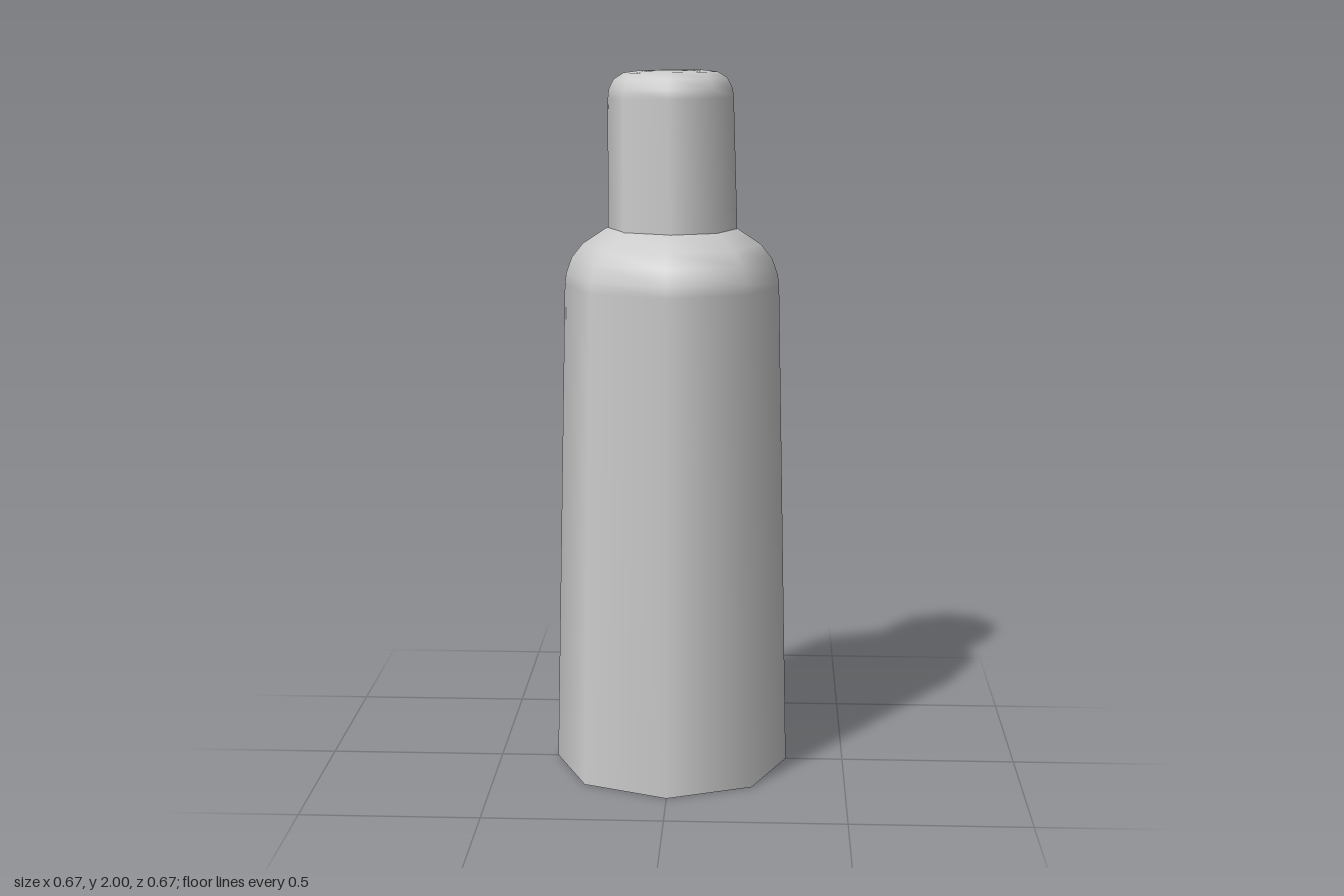
import * as THREE from 'three';

const material = new THREE.MeshStandardMaterial({ color: 0xcccccc });

// Eight-sided turned part from [radius, height] pairs, bottom to top
function turned(name, profile) {
  const points = profile.map(([r, y]) => new THREE.Vector2(r, y));
  const mesh = new THREE.Mesh(new THREE.LatheGeometry(points, 8), material);
  mesh.name = name;
  return mesh;
}

export function createModel() {
  const model = new THREE.Group();
  model.name = 'bottle';

  // Tapered body with a rounded shoulder running in under the cap
  model.add(turned('body', [
    [0.335, 0], [0.302, 1.40], [0.298, 1.43], [0.282, 1.475],
    [0.25, 1.515], [0.185, 1.558], [0.12, 1.58], [0, 1.58],
  ]));

  // Flat underside, kept separate for a sharp rim
  const base = new THREE.Mesh(new THREE.CircleGeometry(0.335, 8), material);
  base.name = 'base';
  base.rotation.x = Math.PI / 2;
  model.add(base);

  // Cap with a rounded top, sitting slightly crooked on the shoulder
  const cap = turned('cap', [
    [0.182, 0], [0.175, 0.41], [0.172, 0.435], [0.158, 0.463],
    [0.13, 0.48], [0.09, 0.485], [0, 0.487],
  ]);
  cap.position.set(0.003, 1.51, 0.003);
  cap.rotation.set(-0.015, 0, 0.015);
  model.add(cap);

  return model;
}
